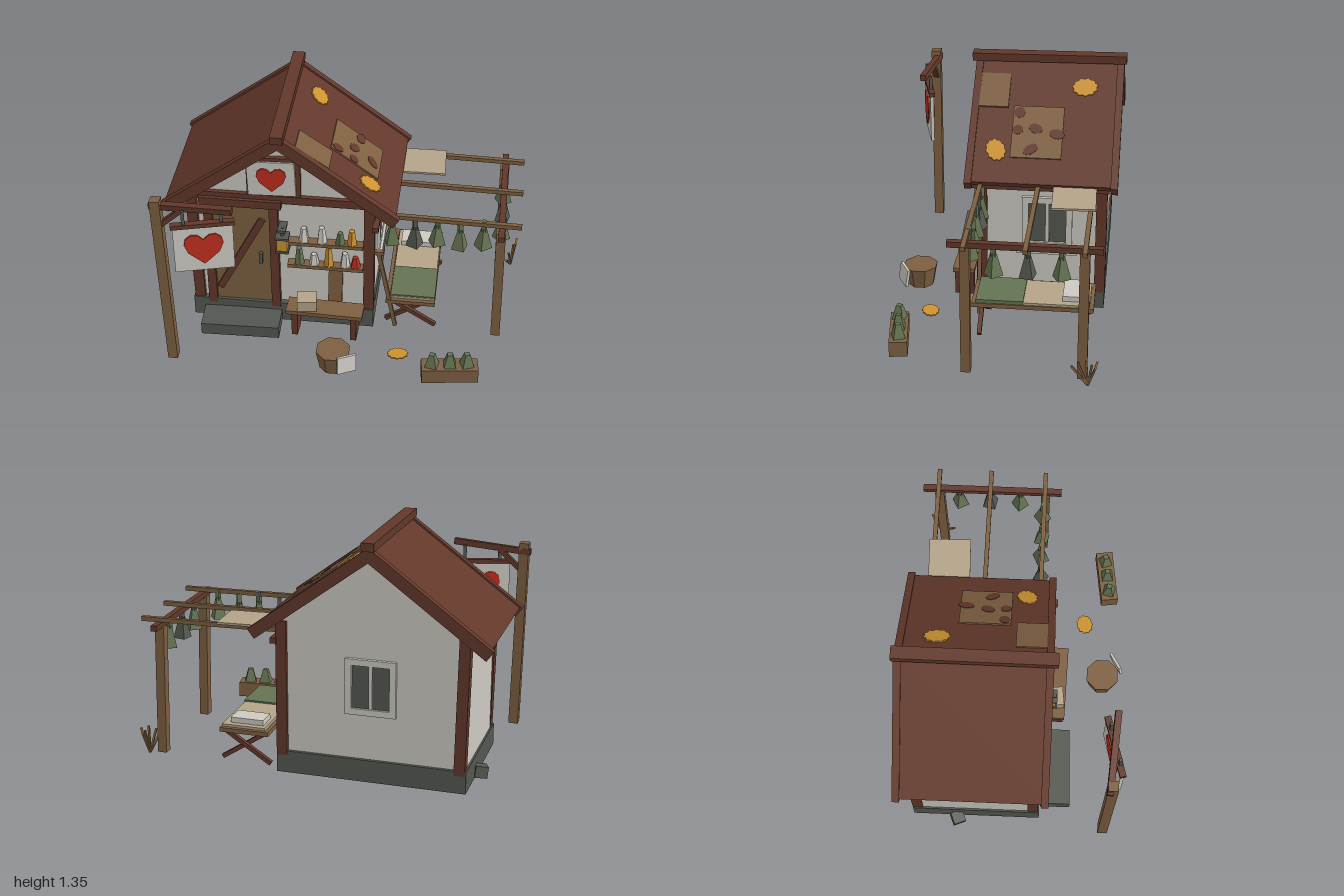
import * as THREE from 'three';

const mat = (name, color) => {
  const m = new THREE.MeshStandardMaterial({ color, flatShading: true });
  m.name = name;
  return m;
};
const timber = mat('dark timber', 0x62382a);
const wood = mat('brown wood', 0x7d5f40);
const plaster = mat('pale plaster', 0xcccac2);
const stone = mat('grey stone', 0x545750);
const green = mat('leaf green', 0x647352);
const red = mat('red', 0xbe2e1d);
const gold = mat('gold', 0xcc922f);
const cloth = mat('beige cloth', 0xb3a388);

function add(parent, name, geo, m, x = 0, y = 0, z = 0, rx = 0, ry = 0, rz = 0) {
  const mesh = new THREE.Mesh(geo, m);
  mesh.name = name;
  mesh.position.set(x, y, z);
  mesh.rotation.set(rx, ry, rz);
  parent.add(mesh);
  return mesh;
}
const box = (p, name, m, w, h, d, ...at) => add(p, name, new THREE.BoxGeometry(w, h, d), m, ...at);
const taper = (p, name, m, rTop, rBottom, h, sides, ...at) =>
  add(p, name, new THREE.CylinderGeometry(rTop, rBottom, h, sides), m, ...at);

// Square bar between two points
function bar(p, name, m, a, b, w, d = w) {
  const A = new THREE.Vector3(...a), B = new THREE.Vector3(...b);
  const mesh = box(p, name, m, w, A.distanceTo(B), d);
  mesh.position.copy(A).add(B).multiplyScalar(0.5);
  mesh.quaternion.setFromUnitVectors(new THREE.Vector3(0, 1, 0), B.sub(A).normalize());
  return mesh;
}
function group(p, name, x = 0, y = 0, z = 0, ry = 0) {
  const g = new THREE.Group();
  g.name = name;
  g.position.set(x, y, z);
  g.rotation.y = ry;
  p.add(g);
  return g;
}
// Hollow stone slab, open underneath
function openBox(p, name, w, h, d, x, y, z, ry = 0) {
  const g = group(p, name, x, y, z, ry), t = 0.01;
  box(g, name + 'Top', stone, w, t, d, 0, (h - t) / 2, 0);
  for (const s of [-1, 1]) {
    box(g, name + 'Side', stone, t, h - t, d, s * (w - t) / 2, -t / 2, 0);
    box(g, name + 'Face', stone, w - 2 * t, h - t, t, 0, -t / 2, s * (d - t) / 2);
  }
}
const plate = (pts, depth) => new THREE.ExtrudeGeometry(
  new THREE.Shape(pts.map(([x, y]) => new THREE.Vector2(x, y))), { depth, bevelEnabled: false });

// Faceted heart, one unit wide and high, centred
const half = [[0, 0.33], [0.14, 0.48], [0.32, 0.5], [0.46, 0.38], [0.5, 0.18], [0.4, -0.1]];
const heartPoints = [[0, -0.5], ...half.slice(1).reverse(), half[0], ...half.slice(1).map(([x, y]) => [-x, y])];
const heart = (w, h) => plate(heartPoints.map(([x, y]) => [x * w, y * h]), 0.008);

// Jagged fallen leaf lying flat
function leaf(p, x, y, z, rx, rz, turn) {
  const pts = Array.from({ length: 22 }, (_, i) => {
    const a = i / 22 * Math.PI * 2, k = i % 2 ? 0.86 : 1;
    return [Math.cos(a) * rx * k, Math.sin(a) * rz * k];
  });
  return add(p, 'fallenLeaf', plate(pts, 0.007).rotateX(-Math.PI / 2), gold, x, y, z, 0, turn, 0);
}

// Framed two-pane window facing +z, origin on the wall surface
function windowUnit(p, x, y, z, ry, sill) {
  const g = group(p, 'window', x, y, z, ry);
  box(g, 'panes', stone, 0.23, 0.26, 0.012, 0, 0, 0);
  for (const s of [-1, 1]) {
    box(g, 'frameSide', plaster, 0.035, 0.31, 0.04, s * 0.122, 0, 0);
    box(g, 'frameRail', plaster, 0.28, 0.035, 0.04, 0, s * 0.138, 0);
  }
  box(g, 'mullion', plaster, 0.02, 0.26, 0.028, 0, 0, 0);
  if (sill) box(g, 'sill', plaster, 0.34, 0.028, 0.07, 0, -0.172, 0);
}

function buildHouse(root) {
  const g = group(root, 'house');
  openBox(g, 'foundation', 1.05, 0.125, 0.73, -0.335, 0.0725, -0.193);
  openBox(g, 'doorstep', 0.45, 0.075, 0.17, -0.565, 0.0475, 0.257, 0.03);
  box(g, 'cornerStone', stone, 0.07, 0.065, 0.07, -0.885, 0.043, -0.3, 0.1, 0.4, 0.1);
  const walls = plate([[-0.85, 0.13], [0.18, 0.13], [0.18, 0.87], [-0.335, 1.265], [-0.85, 0.87]], 0.68);
  add(g, 'walls', walls, plaster, 0, 0, -0.54);
  for (const [x, lean] of [[-0.83, 0.02], [0.16, 0]]) for (const z of [0.135, -0.53])
    box(g, 'cornerPost', timber, 0.06, 0.76, 0.06, x, 0.49, z, 0, 0, lean);

  // Front framing
  box(g, 'tieBeam', timber, 1.03, 0.05, 0.04, -0.335, 0.875, 0.145);
  box(g, 'collarBeam', timber, 0.32, 0.025, 0.04, -0.36, 1.14, 0.145, 0, 0, 0.04);
  for (const x of [-0.505, -0.235]) box(g, 'gableStrut', timber, 0.03, 0.24, 0.03, x, 1.01, 0.145);
  box(g, 'gablePanel', plaster, 0.265, 0.22, 0.02, -0.38, 1.02, 0.165, 0, 0, 0.03);
  add(g, 'gableHeart', heart(0.165, 0.15), red, -0.378, 1.016, 0.175, 0, 0, 0.03);

  // Door
  box(g, 'door', wood, 0.34, 0.69, 0.02, -0.56, 0.475, 0.145);
  for (const x of [-0.745, -0.375]) box(g, 'doorPost', timber, 0.05, 0.72, 0.05, x, 0.47, 0.15);
  box(g, 'doorLintel', timber, 0.46, 0.05, 0.06, -0.56, 0.845, 0.155);
  bar(g, 'doorBrace', timber, [-0.7, 0.22, 0.16], [-0.44, 0.73, 0.16], 0.04, 0.02);
  box(g, 'doorHandle', stone, 0.02, 0.07, 0.025, -0.455, 0.46, 0.165);

  windowUnit(g, 0.18, 0.54, -0.23, Math.PI / 2, true);
  windowUnit(g, -0.335, 0.545, -0.54, Math.PI, false);

  // Roof slopes; local x runs down the slope
  for (const s of [-1, 1]) {
    const slope = group(g, 'roofSlope', -0.335, 1.322, 0);
    slope.rotation.z = s > 0 ? -0.638 : 0.638;
    box(slope, 'roofBoards', timber, 0.81, 0.04, 0.79, s * 0.405, -0.03, -0.2);
    for (const z of [0.197, -0.597])
      box(slope, 'bargeBoard', timber, 0.825, 0.065, 0.04, s * 0.412, -0.0325, z);
    if (s < 0) continue;
    // Patched boards with worn-through spots, and leaves
    box(slope, 'smallPatch', wood, 0.22, 0.012, 0.165, 0.23, -0.006, 0.095, 0, 0, 0.03);
    box(slope, 'largePatch', wood, 0.325, 0.012, 0.28, 0.49, -0.008, -0.16);
    for (const [x, z, a, b] of [[0.47, -0.15, 0.04, 0.03], [0.37, -0.055, 0.035, 0.03],
      [0.5, -0.268, 0.045, 0.03], [0.6, -0.13, 0.045, 0.028], [0.48, -0.052, 0.03, 0.03]]) {
      const spot = taper(slope, 'wornSpot', timber, 1, 1, 0.004, 9, x, -0.001, z, 0, x * 9, 0);
      spot.scale.set(a, 1, b);
    }
    leaf(slope, 0.19, -0.008, -0.405, 0.06, 0.074, 0.1);
    leaf(slope, 0.61, -0.008, 0.06, 0.073, 0.056, 0.4);
  }
  box(g, 'ridgeBeam', timber, 0.07, 0.045, 0.87, -0.335, 1.322, -0.195, 0.012, 0, 0);
}

function buildShopfront(root) {
  const g = group(root, 'shopfront');
  for (const y of [0.598, 0.437]) box(g, 'shelf', wood, 0.43, 0.022, 0.07, -0.085, y, 0.16);
  const bottles = [
    [-0.205, 0.609, 0.09, plaster], [-0.105, 0.609, 0.1, plaster], [0, 0.609, 0.07, green], [0.065, 0.609, 0.09, gold],
    [-0.235, 0.448, 0.105, green], [-0.15, 0.448, 0.07, plaster], [-0.065, 0.448, 0.12, gold],
    [0.025, 0.448, 0.09, plaster], [0.085, 0.448, 0.065, red]];
  for (const [x, y, h, m] of bottles)
    taper(g, 'bottle', m, 0.017, 0.03, h, 5, x, y + h / 2, 0.168, 0, x * 20, 0);

  // Lantern
  const l = group(g, 'lantern', -0.32, 0, 0.21);
  box(l, 'lanternGlass', gold, 0.06, 0.085, 0.06, 0, 0.615, 0);
  for (const y of [0.57, 0.662]) box(l, 'lanternCap', stone, 0.075, 0.014, 0.075, 0, y, 0);
  box(l, 'lanternHook', stone, 0.018, 0.06, 0.018, 0, 0.695, 0);
  box(l, 'lanternBracket', stone, 0.045, 0.016, 0.09, 0, 0.715, -0.01);

  box(g, 'leaningBoard', wood, 0.08, 0.29, 0.02, -0.03, 0.28, 0.16, -0.04, 0, -0.02);

  // Bench with a small crate
  const b = group(g, 'bench', -0.08, 0, 0.243, -0.03);
  box(b, 'benchSeat', wood, 0.44, 0.025, 0.125, 0, 0.178, 0);
  for (const x of [-0.17, 0.17]) box(b, 'benchLeg', timber, 0.035, 0.156, 0.11, x, 0.088, 0);
  box(b, 'benchBox', cloth, 0.11, 0.065, 0.1, -0.105, 0.223, 0, 0, 0.15, 0);

  // Bucket and notice board
  taper(g, 'bucket', wood, 0.1, 0.078, 0.12, 8, 0, 0.07, 0.52, 0, Math.PI / 8, 0);
  box(g, 'noticeBoard', plaster, 0.112, 0.105, 0.016, 0.085, 0.103, 0.603, -0.15, 0.53, 0);
  leaf(g, 0.355, 0.03, 0.41, 0.062, 0.05, 0.2).rotation.x = -0.06;

  // Planter
  const p = group(g, 'planter', 0.655, 0, 0.537, 0.13);
  box(p, 'planterBox', wood, 0.315, 0.09, 0.1, 0, 0.055, 0);
  for (const x of [-0.1, 0, 0.095]) taper(p, 'sprout', green, 0.02, 0.047, 0.08, 4, x, 0.14, 0, 0, 0.75 + x * 3, 0);

  // Leaning tool
  bar(g, 'toolPole', wood, [0.315, 0.01, 0.14], [0.212, 0.54, 0.14], 0.022);
  box(g, 'toolGrip', wood, 0.055, 0.022, 0.025, 0.215, 0.54, 0.14);
}

function buildSign(root) {
  const g = group(root, 'hangingSign');
  bar(g, 'signPost', wood, [-0.908, 0.01, 0.545], [-0.932, 1.11, 0.545], 0.055);
  bar(g, 'signArm', timber, [-0.97, 1.06, 0.53], [-0.52, 1.085, 0.565], 0.035);
  bar(g, 'signBrace', timber, [-0.91, 0.95, 0.545], [-0.79, 1.06, 0.545], 0.028);
  const s = group(g, 'signBoard', -0.685, 0, 0.557, 0.26);
  box(s, 'signPanel', plaster, 0.32, 0.295, 0.02, 0, 0.825, 0);
  box(s, 'signRail', timber, 0.34, 0.025, 0.035, 0, 0.978, 0);
  for (const x of [-0.1, 0.1]) box(s, 'signHanger', stone, 0.018, 0.085, 0.018, x, 1.03, 0);
  for (const side of [0, Math.PI])
    add(s, 'signHeart', heart(0.21, 0.195).translate(0, 0, 0.01), red, 0, 0.822, 0, 0, side, 0);
}

function buildPergola(root) {
  const g = group(root, 'pergola');
  for (const z of [0.135, -0.18, -0.48])
    bar(g, 'rafter', wood, [0.17, 0.8, z - 0.005], [0.995, 0.787, z], 0.025);
  for (const x of [0.2, 0.888]) box(g, 'crossBeam', timber, 0.035, 0.032, 0.8, x, 0.762, -0.17);
  for (const z of [0.138, -0.477])
    bar(g, 'pergolaPost', wood, [0.897, 0.01, z], [0.885, 0.75, z], 0.052);
  box(g, 'awningBoard', cloth, 0.25, 0.012, 0.235, 0.42, 0.81, -0.39, 0, 0.03, -0.01);

  // Drying herb bundles
  const herb = (x, z, m, drop) => {
    const h = group(g, 'herbBundle', x, 0, z, x * 7 + z * 5);
    taper(h, 'herbLeaves', m, 0.016, 0.052, 0.125, 4, 0, 0.675 - drop, 0);
    box(h, 'herbStem', m, 0.024, 0.07, 0.024, 0, 0.755 - drop, 0);
  };
  [0.285, 0.41, 0.535, 0.66, 0.79].forEach((x, i) =>
    herb(x, 0.125, i === 1 ? stone : green, [0, 0.005, -0.015, 0.003, -0.015][i]));
  [-0.01, -0.185, -0.36].forEach((z, i) => herb(0.888, z, i === 1 ? stone : green, 0.018));

  // Dry grass tuft
  for (const [x, y, z] of [[0.94, 0.1, -0.42], [0.95, 0.13, -0.455], [0.975, 0.16, -0.5], [0.985, 0.14, -0.53]])
    bar(g, 'grassBlade', wood, [0.968, 0.005, -0.51], [x, y, z], 0.011);
  bar(g, 'grassBlade', wood, [0.968, 0.005, -0.51], [0.99, 0.13, -0.55], 0.011);
  bar(g, 'grassTip', gold, [0.99, 0.125, -0.548], [0.994, 0.168, -0.558], 0.01);
}

function buildCot(root) {
  const g = group(root, 'cot', 0.4, 0, -0.18);
  for (const s of [-1, 1]) {
    box(g, 'cotRail', wood, 0.022, 0.025, 0.67, s * 0.13, 0.195, 0);
    box(g, 'cotEnd', wood, 0.24, 0.025, 0.022, 0, 0.195, s * 0.324);
  }
  box(g, 'mattress', cloth, 0.25, 0.025, 0.625, 0.01, 0.209, 0);
  box(g, 'blanket', green, 0.255, 0.02, 0.26, 0.012, 0.221, 0.18);
  box(g, 'pillow', plaster, 0.19, 0.032, 0.115, 0, 0.236, -0.22);
  for (const z of [0.28, -0.285]) for (const s of [-1, 1])
    bar(g, 'crossedLeg', timber, [s * 0.145, 0.014, z + s * 0.012], [-s * 0.125, 0.19, z + s * 0.012], 0.024);
}

export function createModel() {
  const root = new THREE.Group();
  root.name = 'herbalistCottage';
  buildHouse(root);
  buildShopfront(root);
  buildSign(root);
  buildPergola(root);
  buildCot(root);
  return root;
}
